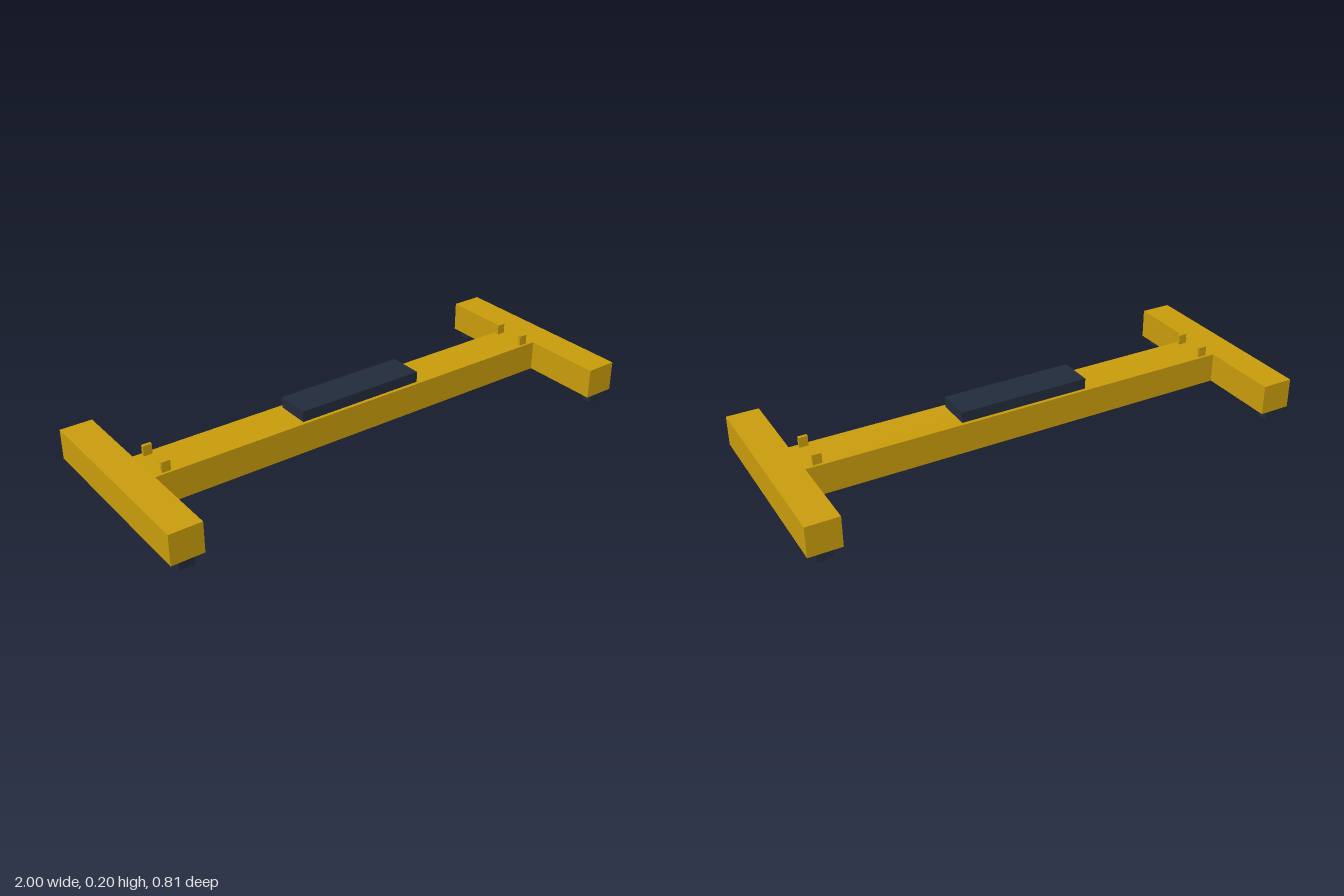
import * as THREE from 'three';

export function createModel() {
  const model = new THREE.Group();
  model.name = 'spreaderFrame';

  const yellow = new THREE.MeshStandardMaterial({ color: 0xca9c0c });
  yellow.name = 'safetyYellow';
  const dark = new THREE.MeshStandardMaterial({ color: 0x222c3c });
  dark.name = 'darkSlate';

  // Box resting on the height y0
  const box = (name, material, [w, h, d], [x, y0, z]) => {
    const mesh = new THREE.Mesh(new THREE.BoxGeometry(w, h, d), material);
    mesh.name = name;
    mesh.position.set(x, y0 + h / 2, z);
    model.add(mesh);
  };

  // Main beam and the raised pad at its middle
  box('mainBeam', yellow, [1.748, 0.12, 0.166], [0, 0.04, 0]);
  box('centrePad', dark, [0.53, 0.043, 0.138], [0, 0.16, 0]);

  for (const [sx, side] of [[1, 'left'], [-1, 'right']]) {
    // Cross beam at each end
    box(`${side}EndBeam`, yellow, [0.126, 0.12, 0.806], [sx * 0.937, 0.04, 0]);

    for (const [sz, end] of [[1, 'Front'], [-1, 'Back']]) {
      // Corner locking feet and upright lugs
      box(`${side}${end}Foot`, dark, [0.06, 0.04, 0.04], [sx * 0.936, 0, sz * 0.37]);
      box(`${side}${end}Lug`, yellow, [0.034, 0.04, 0.013], [sx * 0.825, 0.16, sz * 0.066]);
    }
  }
  return model;
}
